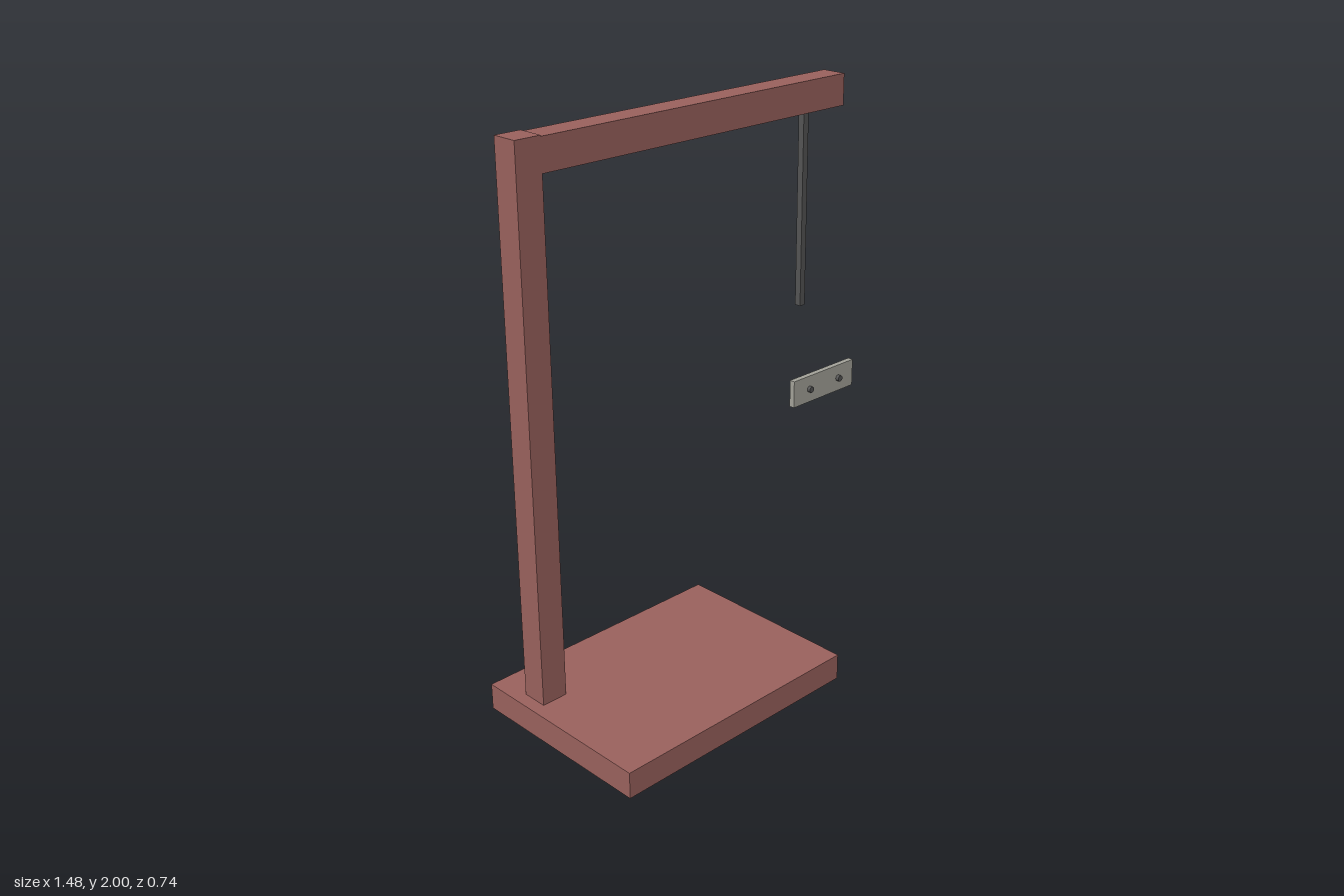
import * as THREE from 'three';

const paint = (color) => new THREE.MeshStandardMaterial({ color });

export function createModel() {
  const model = new THREE.Group();
  model.name = 'hangingStand';

  const wood = paint(0x9b625e);
  const steel = paint(0x555555);
  const plateMetal = paint(0xa5a49b);

  // Box given by its lower and upper corners
  const addBox = (name, material, [x0, y0, z0], [x1, y1, z1]) => {
    const mesh = new THREE.Mesh(new THREE.BoxGeometry(x1 - x0, y1 - y0, z1 - z0), material);
    mesh.position.set((x0 + x1) / 2, (y0 + y1) / 2, (z0 + z1) / 2);
    mesh.name = name;
    model.add(mesh);
  };

  // Wooden frame: base slab, upright post and overhanging arm
  addBox('base', wood, [-0.738, 0, -0.37], [0.24, 0.095, 0.336]);
  addBox('post', wood, [-0.692, 0.09, -0.24], [-0.595, 2, -0.145]);
  addBox('arm', wood, [-0.62, 1.885, -0.239], [0.738, 1.996, -0.146]);

  // Square rod hanging from the arm
  addBox('hangingRod', steel, [0.573, 1.18, -0.204], [0.597, 1.89, -0.18]);

  // Small plate with two round screw heads
  addBox('plate', plateMetal, [-0.036, 1.126, 0.338], [0.24, 1.214, 0.356]);
  for (const x of [0.035, 0.17]) {
    const screw = new THREE.Mesh(new THREE.CylinderGeometry(0.01, 0.01, 0.014, 16), steel);
    screw.rotation.x = Math.PI / 2;
    screw.position.set(x, 1.17, 0.36);
    screw.name = 'screw';
    model.add(screw);
  }

  return model;
}
